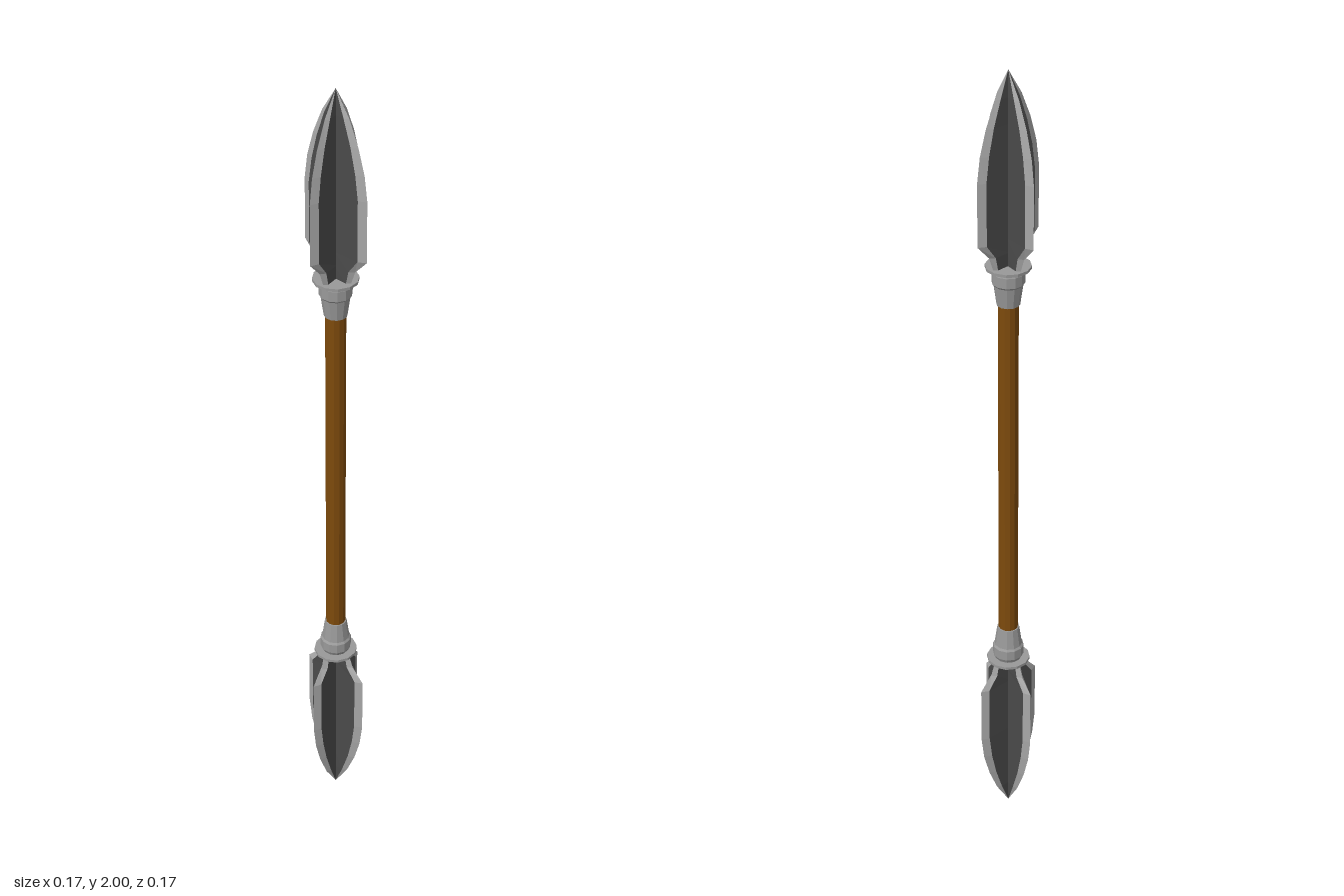
import * as THREE from 'three';

const mat = (color) => new THREE.MeshStandardMaterial({ color, flatShading: true, side: THREE.DoubleSide });
const wood = mat(0x7d4a0c);
const steel = mat(0x999999);
const darkSteel = mat(0x4a4a4a);
const edgeSteel = mat(0xa8a8a8);

// Blade stations: height, reach of the flat, reach of the cutting edge, half thickness
const STATIONS = [
  [1.54, 0.035, 0.043, 0.008],
  [1.575, 0.043, 0.055, 0.009],
  [1.61, 0.068, 0.087, 0.009],
  [1.76, 0.068, 0.087, 0.009],
  [1.82, 0.06, 0.079, 0.0085],
  [1.88, 0.046, 0.062, 0.0075],
  [1.94, 0.026, 0.037, 0.006],
  [2.0, 0, 0, 0],
];

// Surface between two rows of points
function strip(a, b) {
  const pos = [];
  for (let i = 0; i < a.length - 1; i++) {
    pos.push(...a[i], ...b[i], ...b[i + 1], ...a[i], ...b[i + 1], ...a[i + 1]);
  }
  const geo = new THREE.BufferGeometry();
  geo.setAttribute('position', new THREE.Float32BufferAttribute(pos, 3));
  geo.computeVertexNormals();
  return geo;
}

function addMesh(parent, geo, material, name) {
  const mesh = new THREE.Mesh(geo, material);
  mesh.name = name;
  parent.add(mesh);
  return mesh;
}

// One fin, reaching out along +x: flat cheeks and a bevelled edge on both sides
function createFin() {
  const fin = new THREE.Group();
  fin.name = 'bladeFin';
  const edge = STATIONS.map(([y, , r]) => [r, y, 0]);
  for (const s of [1, -1]) {
    const core = STATIONS.map(([y, , , t]) => [0, y, s * t * 0.6]);
    const ridge = STATIONS.map(([y, r, , t]) => [r, y, s * t]);
    // keep the winding outward on both sides
    const cheek = s > 0 ? strip(ridge, core) : strip(core, ridge);
    const bevel = s > 0 ? strip(edge, ridge) : strip(ridge, edge);
    addMesh(fin, cheek, darkSteel, 'bladeCheek');
    addMesh(fin, bevel, edgeSteel, 'cuttingEdge');
  }
  return fin;
}

// Upper spearhead: socket, guard disc and four crossed fins
function createHead(name) {
  const head = new THREE.Group();
  head.name = name;
  const profile = [
    [0, 1.445], [0.027, 1.445], [0.034, 1.495], [0.038, 1.5],
    [0.038, 1.525], [0.032, 1.537], [0, 1.537],
  ].map(([r, y]) => new THREE.Vector2(r, y));
  addMesh(head, new THREE.LatheGeometry(profile, 12, Math.PI / 12), steel, 'socket');
  const disc = addMesh(head, new THREE.CylinderGeometry(0.053, 0.053, 0.007, 12), steel, 'guardDisc');
  disc.position.y = 1.539;
  disc.rotation.y = Math.PI / 12;
  for (let i = 0; i < 4; i++) {
    const fin = createFin();
    fin.rotation.y = (i * Math.PI) / 2;
    head.add(fin);
  }
  return head;
}

export function createModel() {
  const model = new THREE.Group();
  model.name = 'doubleEndedSpear';

  const shaft = addMesh(model, new THREE.CylinderGeometry(0.024, 0.024, 0.92, 12), wood, 'shaft');
  shaft.position.y = 1;

  model.add(createHead('upperHead'));

  // Lower head is the upper one turned end over end about mid height
  const lower = createHead('lowerHead');
  lower.rotation.x = Math.PI;
  lower.position.y = 2;
  model.add(lower);

  return model;
}
